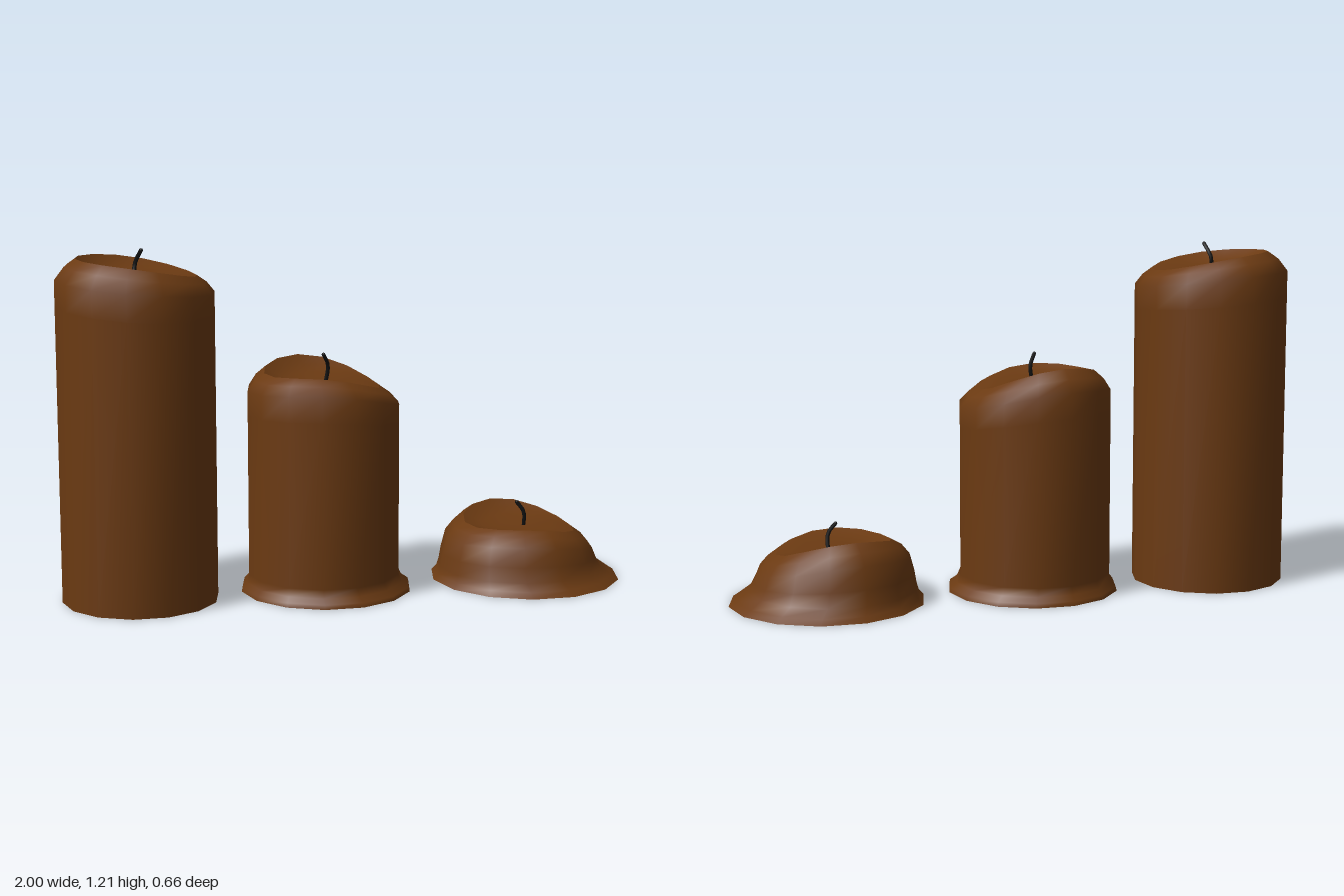
import * as THREE from 'three';

const SIDES = 14;
const wax = new THREE.MeshStandardMaterial({ color: 0x6b3a12 });
const dark = new THREE.MeshStandardMaterial({ color: 0x111111 });

// Ring: [centre x, radius, height, tilt in x, tilt in z, saddle]
function ringPoint([cx, r, y, a = 0, b = 0, c = 0], t) {
  const cos = Math.cos(t), sin = Math.sin(t);
  return [cx + r * cos, y + a * cos + b * sin + c * Math.cos(2 * t), r * sin];
}

// Skin a stack of rings with shared vertices, so the wax shades smoothly
function loft(rings) {
  const pos = [], idx = [];
  rings.forEach((ring, i) => {
    for (let j = 0; j < SIDES; j++) {
      pos.push(...ringPoint(ring, (j / SIDES) * Math.PI * 2));
      if (i === 0) continue;
      const k = (j + 1) % SIDES, lo = (i - 1) * SIDES, hi = i * SIDES;
      idx.push(lo + j, hi + j, lo + k, lo + k, hi + j, hi + k);
    }
  });
  const geo = new THREE.BufferGeometry();
  geo.setAttribute('position', new THREE.Float32BufferAttribute(pos, 3));
  geo.setIndex(idx);
  geo.computeVertexNormals();
  return geo;
}

function addMesh(group, name, geo, material) {
  const mesh = new THREE.Mesh(geo, material);
  mesh.name = name;
  group.add(mesh);
  return mesh;
}

function candle({ name, outer, floor, wick }) {
  const group = new THREE.Group();
  group.name = name;
  const rim = outer[outer.length - 1];
  const [cx, r, y, a, b, c] = rim;

  // Outer wall, up over the softened shoulder to the rim
  addMesh(group, 'waxBody', loft(outer), wax);

  // Hollow melted into the top, flattening towards the wick
  const bowl = [[0.85, 0.55], [0.65, 0.2], [0.35, 0.04], [0.001, 0]].map(([s, h]) =>
    [cx, r * s, floor + (y - floor) * h, a * h, b * h, c * h]);
  addMesh(group, 'meltedHollow', loft([rim, ...bowl]), wax);

  // Underside
  const base = new THREE.CircleGeometry(outer[0][1], SIDES);
  base.rotateX(Math.PI / 2);
  base.translate(outer[0][0], 0, 0);
  addMesh(group, 'underside', base, dark);

  // Bent wick with a closed tip
  const path = new THREE.CatmullRomCurve3(wick.map(p => new THREE.Vector3(...p)));
  addMesh(group, 'wick', new THREE.TubeGeometry(path, 6, 0.007, 6), dark);
  const tip = addMesh(group, 'wickTip', new THREE.SphereGeometry(0.007, 6, 4), dark);
  tip.position.set(...wick[wick.length - 1]);
  return group;
}

export function createModel() {
  const model = new THREE.Group();
  model.name = 'candles';

  model.add(candle({
    name: 'tallCandle',
    outer: [
      [-0.73, 0.27, 0],
      [-0.73, 0.27, 1.0, -0.02, -0.01],
      [-0.73, 0.27, 1.088, -0.025, -0.01, -0.003],
      [-0.727, 0.24, 1.128, -0.03, -0.008, -0.005],
      [-0.725, 0.205, 1.154, -0.032, -0.005, -0.006],
    ],
    floor: 1.12,
    wick: [[-0.733, 1.11, 0], [-0.728, 1.16, -0.005], [-0.71, 1.205, 0.018]],
  }));

  model.add(candle({
    name: 'middleCandle',
    outer: [
      [-0.075, 0.302, 0],
      [-0.075, 0.298, 0.015],
      [-0.08, 0.278, 0.032],
      [-0.082, 0.268, 0.06],
      [-0.082, 0.268, 0.62, -0.02, -0.003, -0.015],
      [-0.082, 0.268, 0.702, -0.027, -0.003, -0.02],
      [-0.085, 0.24, 0.738, -0.028, -0.009, -0.021],
      [-0.088, 0.203, 0.764, -0.028, -0.015, -0.021],
    ],
    floor: 0.735,
    wick: [[-0.075, 0.725, -0.005], [-0.066, 0.79, 0], [-0.086, 0.832, 0.02]],
  }));

  model.add(candle({
    name: 'shortCandle',
    outer: [
      [0.66, 0.34, 0],
      [0.655, 0.318, 0.018],
      [0.64, 0.295, 0.045],
      [0.635, 0.282, 0.09, -0.008, 0, -0.006],
      [0.635, 0.266, 0.148, -0.02, -0.005, -0.018],
      [0.635, 0.237, 0.183, -0.02, -0.01, -0.018],
      [0.635, 0.2, 0.207, -0.017, -0.015, -0.018],
    ],
    floor: 0.185,
    wick: [[0.655, 0.175, 0], [0.652, 0.235, 0.009], [0.628, 0.27, 0]],
  }));

  return model;
}
